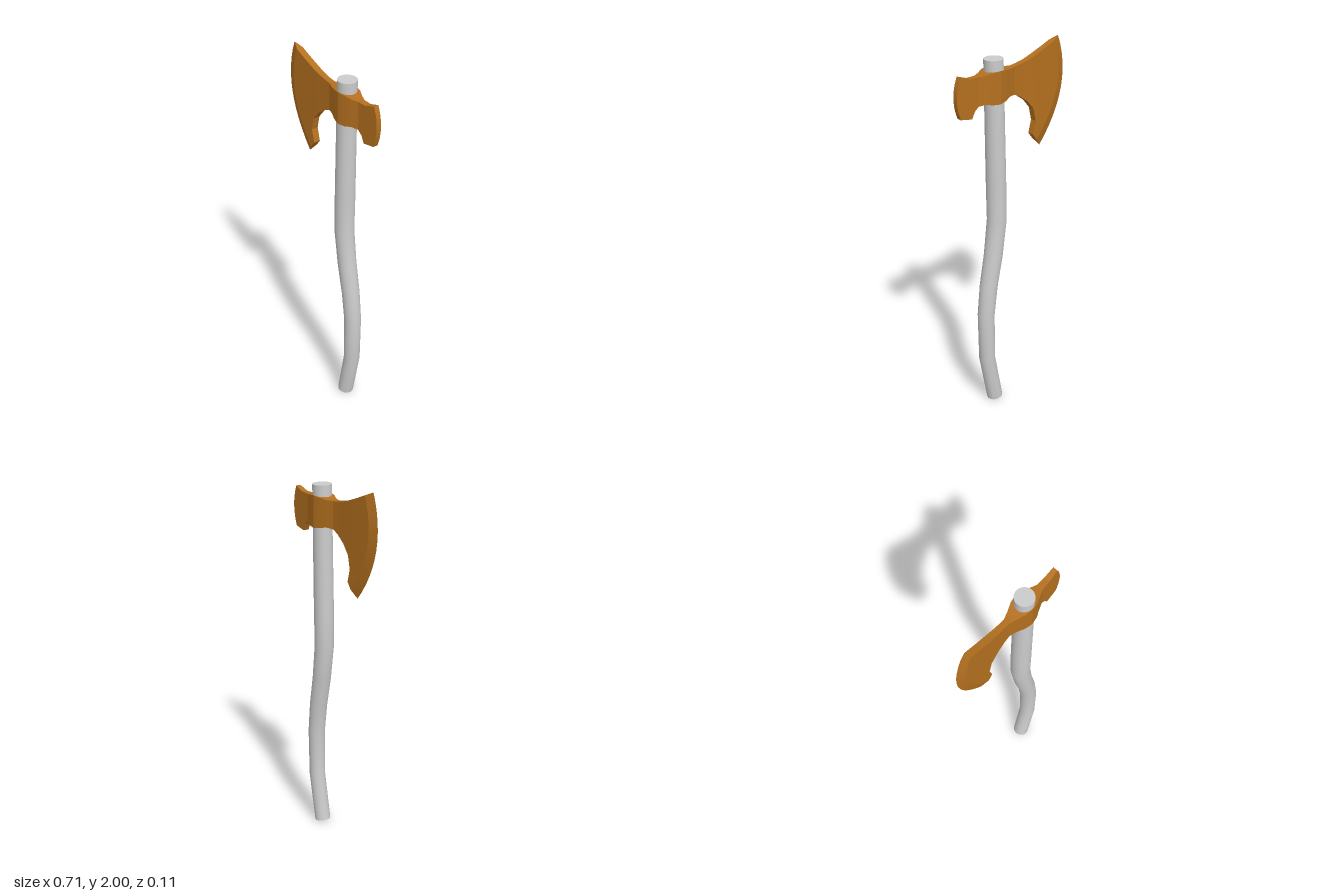
import * as THREE from 'three';
import { toCreasedNormals } from 'three/addons/utils/BufferGeometryUtils.js';

// Head sections from cutting edge to poll:
// bottom x, bottom y, top x, top y, half thickness, sideways bulge of the section
const HEAD = [
  [-0.2, 1.434, -0.32, 2.0, 0, -0.088],
  [-0.165, 1.475, -0.275, 1.98, 0.018, -0.08],
  [-0.138, 1.51, -0.22, 1.957, 0.018, -0.06],
  [-0.156, 1.58, -0.17, 1.938, 0.018, -0.03],
  [-0.14, 1.65, -0.13, 1.923, 0.018, -0.01],
  [-0.098, 1.7, -0.09, 1.911, 0.017, 0],
  [-0.045, 1.737, -0.045, 1.902, 0.016, 0],
  [-0.01, 1.752, -0.01, 1.897, 0.017, 0],
  [0.03, 1.755, 0.03, 1.896, 0.031, 0],
  [0.07, 1.745, 0.07, 1.903, 0.047, 0],
  [0.11, 1.738, 0.11, 1.907, 0.054, 0],
  [0.15, 1.74, 0.15, 1.903, 0.047, 0],
  [0.185, 1.746, 0.185, 1.893, 0.032, 0],
  [0.22, 1.742, 0.22, 1.89, 0.018, 0],
  [0.245, 1.722, 0.245, 1.89, 0.017, 0],
  [0.262, 1.685, 0.27, 1.89, 0.016, 0.004],
  [0.33, 1.696, 0.33, 1.91, 0.013, 0.023],
];

// Handle centre line from butt to top: x, y, radius
const HANDLE = [
  [0.119, 0.009, 0.043],
  [0.172, 0.28, 0.044],
  [0.175, 0.55, 0.046],
  [0.155, 0.72, 0.048],
  [0.122, 0.89, 0.05],
  [0.096, 1.09, 0.052],
  [0.099, 1.28, 0.053],
  [0.111, 1.96, 0.05],
];

// Loft closed rings (front going up, back going down) through the sections
function headGeometry() {
  const N = 12, R = 2 * (N + 1), pos = [], index = [];
  for (const [bx, by, tx, ty, half, bulge] of HEAD) {
    for (let k = 0; k < R; k++) {
      const front = k <= N;
      const v = (front ? k : R - 1 - k) / N;
      pos.push(bx + (tx - bx) * v + 4 * v * (1 - v) * bulge, by + (ty - by) * v, front ? half : -half);
    }
  }
  const quad = (a, b, c, d) => index.push(a, b, c, a, c, d);
  for (let i = 0; i < HEAD.length - 1; i++) {
    for (let k = 0; k < R; k++) {
      const n = (k + 1) % R;
      quad(i * R + k, (i + 1) * R + k, (i + 1) * R + n, i * R + n);
    }
  }
  // Poll face
  const last = (HEAD.length - 1) * R;
  for (let j = 0; j < N; j++) quad(last + j, last + R - 1 - j, last + R - 2 - j, last + j + 1);
  const geo = new THREE.BufferGeometry();
  geo.setAttribute('position', new THREE.Float32BufferAttribute(pos, 3));
  geo.setIndex(index);
  return toCreasedNormals(geo, 0.3);
}

// Bend a unit cylinder along the centre line, tilting each ring square to it
function handleGeometry() {
  const last = HANDLE.length - 1;
  const geo = new THREE.CylinderGeometry(1, 1, 1, 24, last);
  const p = geo.attributes.position;
  for (let i = 0; i < p.count; i++) {
    const r = Math.round((p.getY(i) + 0.5) * last);
    const [x, y, radius] = HANDLE[r];
    const a = HANDLE[Math.max(r - 1, 0)], b = HANDLE[Math.min(r + 1, last)];
    const tilt = Math.atan2(b[0] - a[0], b[1] - a[1]);
    const s = p.getX(i) * radius;
    p.setXYZ(i, x + s * Math.cos(tilt), y - s * Math.sin(tilt), p.getZ(i) * radius);
  }
  return toCreasedNormals(geo, 0.6);
}

export function createModel() {
  const group = new THREE.Group();
  group.name = 'axe';
  const add = (name, geometry, color) => {
    const mesh = new THREE.Mesh(geometry, new THREE.MeshStandardMaterial({ color }));
    mesh.name = name;
    group.add(mesh);
  };
  add('axeHead', headGeometry(), 0xb4701f);
  add('handle', handleGeometry(), 0xcccccc);
  return group;
}
